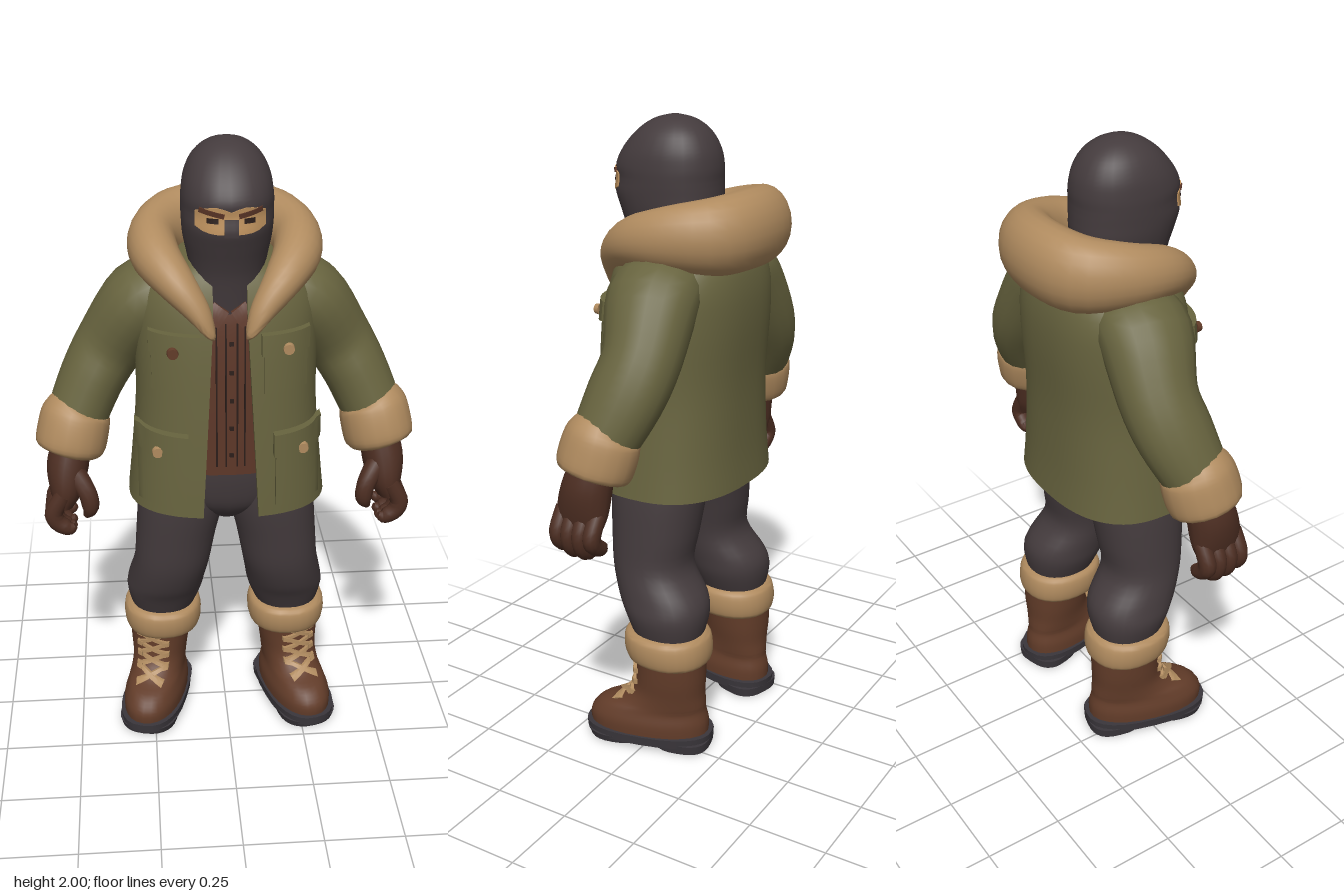
import * as THREE from 'three';
import { toCreasedNormals } from 'three/addons/utils/BufferGeometryUtils.js';

const colour = (name, hex) => {
  const m = new THREE.MeshStandardMaterial({ color: hex });
  m.name = name;
  return m;
};

// Catmull-Rom smoothing of rows of numbers
function smooth(rows, steps = 4) {
  const out = [], at = i => rows[Math.max(0, Math.min(rows.length - 1, i))];
  for (let i = 0; i < rows.length - 1; i++) for (let s = 0; s < steps; s++) {
    const t = s / steps;
    out.push(rows[i].map((b, k) => {
      const a = at(i - 1)[k], c = at(i + 1)[k], d = at(i + 2)[k];
      return b + 0.5 * t * (c - a + t * (2 * a - 5 * b + 4 * c - d + t * (3 * (b - c) + d - a)));
    }));
  }
  out.push(rows[rows.length - 1]);
  return out;
}

// Skin closed loops of points, with flat ends
function loft(rings, crease = 0.9) {
  const n = rings[0].length, p = rings.flat(), idx = [];
  const quad = (a, b, c, d) => idx.push(a, b, c, a, c, d);
  for (let r = 0; r < rings.length - 1; r++) for (let i = 0; i < n; i++) {
    const j = (i + 1) % n, o = r * n;
    quad(o + i, o + j, o + n + j, o + n + i);
  }
  const last = (rings.length - 1) * n;
  for (let i = 0; i < n / 2 - 1; i++) {
    quad(i, n - 1 - i, n - 2 - i, i + 1);
    quad(last + i, last + i + 1, last + n - 2 - i, last + n - 1 - i);
  }
  let volume = 0;
  for (let i = 0; i < idx.length; i += 3) volume += p[idx[i]].dot(p[idx[i + 1]].clone().cross(p[idx[i + 2]]));
  if (volume < 0) idx.reverse();
  const g = new THREE.BufferGeometry().setFromPoints(p);
  g.setIndex(idx);
  return toCreasedNormals(g, crease);
}

const power = (v, e) => Math.sign(v) * Math.abs(v) ** (2 / e);

// Level rings: rows of [y, centre x, centre z, radius x, radius z]
function upright(rows, e = 2.2, n = 28) {
  return loft(rows.map(([y, cx, cz, rx, rz]) => Array.from({ length: n }, (_, i) => {
    const a = i / n * Math.PI * 2;
    return new THREE.Vector3(cx + rx * power(Math.sin(a), e), y, cz + rz * power(Math.cos(a), e));
  })));
}

// Rings square to a path: rows of [x, y, z, side radius, other radius]
function pipe(rows, ref = new THREE.Vector3(0, 0, 1), n = 18) {
  const c = rows.map(r => new THREE.Vector3(r[0], r[1], r[2]));
  return loft(rows.map((r, k) => {
    const t = c[Math.min(k + 1, c.length - 1)].clone().sub(c[Math.max(k - 1, 0)]).normalize();
    const u = ref.clone().cross(t).normalize(), v = t.clone().cross(u);
    return Array.from({ length: n }, (_, i) => {
      const a = i / n * Math.PI * 2;
      return c[k].clone().addScaledVector(u, r[3] * Math.cos(a)).addScaledVector(v, r[4] * Math.sin(a));
    });
  }));
}

// Front z of an upright body at x, y
function frontZ(rows, x, y, e) {
  let i = 0;
  while (i < rows.length - 2 && y > rows[i + 1][0]) i++;
  const t = THREE.MathUtils.clamp((y - rows[i][0]) / (rows[i + 1][0] - rows[i][0]), 0, 1);
  const [, cx, cz, rx, rz] = rows[i].map((v, k) => v + (rows[i + 1][k] - v) * t);
  return cz + rz * (1 - Math.min(0.98, Math.abs((x - cx) / rx)) ** e) ** (1 / e);
}

// Plate bent onto the front of a body; rule reshapes its height
function plate(rows, e, x, y, w, h, d, { tilt = 0, lift = 0, rule = (u, v) => v } = {}) {
  const g = new THREE.BoxGeometry(w, h, d, 10, 4, 1), p = g.attributes.position;
  for (let i = 0; i < p.count; i++) p.setY(i, h / 2 * rule(p.getX(i) / w * 2, p.getY(i) / h * 2));
  g.rotateZ(tilt).translate(x, y, lift);
  for (let i = 0; i < p.count; i++) p.setZ(i, p.getZ(i) + frontZ(rows, p.getX(i), p.getY(i), e));
  return toCreasedNormals(g, 0.7);
}

function mirrored(g) {
  const m = g.index ? g.toNonIndexed() : g.clone();
  m.scale(-1, 1, 1);
  for (const a of Object.values(m.attributes)) for (let i = 0; i < a.count; i += 3) for (let k = 0; k < a.itemSize; k++) {
    const v = a.getComponent(i + 1, k);
    a.setComponent(i + 1, k, a.getComponent(i + 2, k));
    a.setComponent(i + 2, k, v);
  }
  return m;
}

export function createModel() {
  const green = colour('olive cloth', 0x68643f), fur = colour('tan fur', 0xb08b5f), dark = colour('charcoal cloth', 0x443b3d);
  const boot = colour('boot leather', 0x623c29), glove = colour('glove leather', 0x4d2e22), shirtMat = colour('brown shirt', 0x5d3728);
  const sole = colour('dark rubber', 0x3a363b), skin = colour('skin', 0xc0935f), ink = colour('dark brown', 0x2b1d19);
  const model = new THREE.Group();
  const add = (name, g, m) => {
    const mesh = new THREE.Mesh(g, m);
    mesh.name = name;
    model.add(mesh);
  };
  const pair = (name, g, m) => { add(name + 'Left', g, m); add(name + 'Right', mirrored(g), m); };

  // Masked head and neck
  const head = smooth([[1.46, 0, 0.08, 0.1, 0.1], [1.6, 0, 0.085, 0.108, 0.115], [1.66, 0, 0.075, 0.118, 0.14], [1.72, 0, 0.073, 0.13, 0.163],
    [1.77, 0, 0.08, 0.134, 0.172], [1.81, 0, 0.077, 0.135, 0.168], [1.85, 0, 0.078, 0.134, 0.17], [1.9, 0, 0.07, 0.125, 0.152],
    [1.95, 0, 0.062, 0.1, 0.115], [1.985, 0, 0.06, 0.058, 0.065], [2, 0, 0.06, 0.008, 0.008]]);
  add('mask', upright(head), dark);
  add('eyeOpening', plate(head, 2.2, 0, 1.805, 0.2, 0.076, 0.008, {
    rule: (u, v) => v * (1 - 0.45 * u ** 4) - (v > 0 ? 0.35 * v * Math.max(0, 1 - 3 * Math.abs(u)) : 0) }), skin);
  add('noseBridge', plate(head, 2.2, 0, 1.785, 0.04, 0.05, 0.02), dark);
  pair('brow', plate(head, 2.2, 0.055, 1.826, 0.07, 0.014, 0.008, { tilt: 0.2, lift: 0.004 }), shirtMat);
  pair('eye', plate(head, 2.2, 0.052, 1.805, 0.032, 0.014, 0.006, { lift: 0.004 }), ink);

  // Shirt and hips
  const shirt = smooth([[0.99, 0, 0.03, 0.21, 0.18], [1.2, 0, 0.03, 0.21, 0.178], [1.4, 0, 0.02, 0.2, 0.18], [1.53, 0, 0.015, 0.17, 0.165], [1.57, 0, 0.02, 0.12, 0.11]]);
  add('shirt', upright(shirt, 2.5), shirtMat);
  for (const x of [-0.04, -0.012, 0.022, 0.045]) add('shirtStripe', plate(shirt, 2.5, x, 1.25, 0.005, 0.46, 0.006), ink);
  for (let i = 0; i < 5; i++) add('shirtButton', plate(shirt, 2.5, 0.005, 1.06 + i * 0.09, 0.012, 0.012, 0.012), ink);
  pair('shirtCollar', plate(shirt, 2.5, 0.04, 1.51, 0.05, 0.055, 0.02, { tilt: 0.6, lift: 0.01 }), shirtMat);
  add('hips', upright(smooth([[0.8, 0, 0.035, 0.06, 0.1], [0.86, 0, 0.035, 0.19, 0.145], [0.95, 0, 0.035, 0.22, 0.165], [1.03, 0, 0.035, 0.21, 0.17]])), dark);

  // Open jacket shell: each section runs up the outside and down the lining
  const E = 2.5;
  const coat = smooth([[0.87, 0, 0.028, 0.312, 0.238], [1, 0, 0.03, 0.298, 0.232], [1.2, 0, 0.025, 0.28, 0.226], [1.4, 0, 0.01, 0.28, 0.224],
    [1.52, 0, 0.003, 0.272, 0.212], [1.6, 0, 0.003, 0.225, 0.186], [1.65, 0, 0.02, 0.14, 0.14]]);
  const sections = [];
  for (let i = 0; i <= 44; i++) {
    const wall = inset => coat.map(([y, , cz, rx, rz]) => {
      const gap = THREE.MathUtils.clamp(0.085 - (y - 0.87) * 0.055, 0.05, 0.085);
      const x = rx - inset, g = Math.asin((gap / x) ** (E / 2)), a = g + (Math.PI * 2 - 2 * g) * i / 44;
      return new THREE.Vector3(x * power(Math.sin(a), E), y, cz + (rz - inset) * power(Math.cos(a), E));
    });
    sections.push([...wall(0), ...wall(0.025).reverse()]);
  }
  add('jacket', loft(sections), green);
  const point = (u, v) => v < 0 ? v * (1 + 0.45 * (1 - Math.abs(u))) : v;
  pair('chestPocket', plate(coat, E, 0.165, 1.365, 0.135, 0.17, 0.03), green);
  pair('chestFlap', plate(coat, E, 0.165, 1.43, 0.15, 0.062, 0.03, { lift: 0.012, rule: point }), green);
  pair('hipPocket', plate(coat, E, 0.208, 1.02, 0.145, 0.22, 0.04), green);
  pair('hipFlap', plate(coat, E, 0.208, 1.115, 0.16, 0.07, 0.035, { lift: 0.014, rule: point }), green);
  const button = (x, y, m) => add('pocketButton', new THREE.CylinderGeometry(0.016, 0.018, 0.016, 14).rotateX(Math.PI / 2)
    .translate(x, y, frontZ(coat, x, y, E) + 0.033), m);
  button(-0.17, 1.41, boot);
  button(0.17, 1.415, fur);
  button(-0.22, 1.09, fur);
  button(0.22, 1.09, fur);

  // Fur hood ring, thick behind and tapering to the lapels
  const half = [[0.14, 1.675, -0.165, 0.09, 0.115], [0.212, 1.67, -0.05, 0.076, 0.095], [0.208, 1.65, 0.07, 0.072, 0.076],
    [0.155, 1.6, 0.165, 0.058, 0.056], [0.095, 1.53, 0.215, 0.04, 0.036], [0.06, 1.47, 0.237, 0.022, 0.016], [0.05, 1.45, 0.238, 0.006, 0.005]];
  const hood = [...half.map(r => [-r[0], ...r.slice(1)]).reverse(), [0, 1.68, -0.2, 0.09, 0.12], ...half];
  add('furHood', pipe(smooth(hood), new THREE.Vector3(0, 1, 0), 22), fur);

  // Sleeves, cuffs and gloves
  pair('sleeve', pipe(smooth([[0.17, 1.54, -0.01, 0.09, 0.13], [0.25, 1.49, -0.015, 0.12, 0.145], [0.35, 1.345, -0.04, 0.11, 0.122],
    [0.415, 1.235, -0.02, 0.102, 0.12], [0.475, 1.1, 0.025, 0.095, 0.1]])), green);
  pair('sleeveCuff', pipe(smooth([[0.464, 1.145, 0.015, 0.085, 0.09], [0.468, 1.135, 0.018, 0.106, 0.112], [0.48, 1.08, 0.03, 0.112, 0.12],
    [0.492, 1.025, 0.042, 0.108, 0.114], [0.496, 1.01, 0.045, 0.08, 0.085]])), fur);
  pair('palm', pipe(smooth([[0.488, 1.04, 0.045, 0.06, 0.07], [0.502, 0.97, 0.06, 0.066, 0.08], [0.51, 0.9, 0.072, 0.055, 0.085],
    [0.52, 0.85, 0.075, 0.036, 0.075]])), glove);
  for (let i = 0; i < 4; i++) {
    const z = 0.014 + i * 0.04, d = [0.02, 0, 0, 0.012][i];
    pair('finger', pipe(smooth([[0.515, 0.9, z, 0.028, 0.026], [0.55, 0.84, z, 0.029, 0.027], [0.54, 0.79 + d, z, 0.028, 0.026],
      [0.505, 0.768 + d, z, 0.024, 0.023], [0.485, 0.775 + d, z, 0.01, 0.01]]), undefined, 12), glove);
  }
  pair('thumb', pipe(smooth([[0.48, 0.96, 0.1, 0.035, 0.035], [0.442, 0.9, 0.13, 0.03, 0.03], [0.435, 0.85, 0.135, 0.026, 0.026],
    [0.45, 0.82, 0.13, 0.01, 0.01]]), undefined, 12), glove);

  // Trousers
  pair('trouserLeg', upright(smooth([[0.97, 0.13, 0.035, 0.13, 0.15], [0.85, 0.142, 0.037, 0.14, 0.152], [0.72, 0.163, 0.038, 0.13, 0.14],
    [0.61, 0.178, 0.037, 0.124, 0.128], [0.52, 0.195, -0.008, 0.126, 0.145], [0.46, 0.205, -0.03, 0.125, 0.135], [0.38, 0.212, -0.04, 0.1, 0.11]])), dark);
  pair('bootCuff', upright(smooth([[0.298, 0.212, -0.045, 0.1, 0.11], [0.308, 0.212, -0.042, 0.122, 0.134], [0.35, 0.212, -0.038, 0.131, 0.143],
    [0.392, 0.212, -0.035, 0.125, 0.136], [0.405, 0.212, -0.035, 0.1, 0.11]])), fur);

  // Boots, shaped straight and then turned outward
  const foot = g => g.rotateY(0.26).translate(0.24, 0, 0.015);
  const upper = smooth([[0.04, 0, 0.005, 0.1, 0.2], [0.085, 0, 0.005, 0.1, 0.2], [0.125, 0, -0.008, 0.09, 0.178], [0.15, 0, -0.04, 0.088, 0.145],
    [0.19, 0, -0.062, 0.09, 0.12], [0.25, 0, -0.07, 0.097, 0.114], [0.34, 0, -0.07, 0.102, 0.114]]);
  pair('boot', foot(upright(upper)), boot);
  pair('sole', foot(upright([[0.02, 0, 0.005, 0.106, 0.212], [0.05, 0, 0.005, 0.108, 0.214]], 2.5)), sole);
  pair('heel', foot(upright([[0, 0, -0.115, 0.092, 0.09], [0.03, 0, -0.115, 0.095, 0.092]], 2.8)), sole);
  pair('forefoot', foot(upright([[0.006, 0, 0.105, 0.094, 0.1], [0.03, 0, 0.105, 0.1, 0.108]], 2.4)), sole);
  for (let i = 0; i < 4; i++) {
    const y = 0.165 + i * 0.04;
    for (const t of [-0.4, 0.4]) pair('lace', foot(plate(upper, 2.2, 0, y, 0.1, 0.011, 0.012, { tilt: t, lift: 0.004 })), fur);
    for (const x of [-0.045, 0.045]) pair('laceHook', foot(plate(upper, 2.2, x, y + 0.018, 0.02, 0.016, 0.018, { lift: 0.004 })), fur);
  }
  return model;
}
